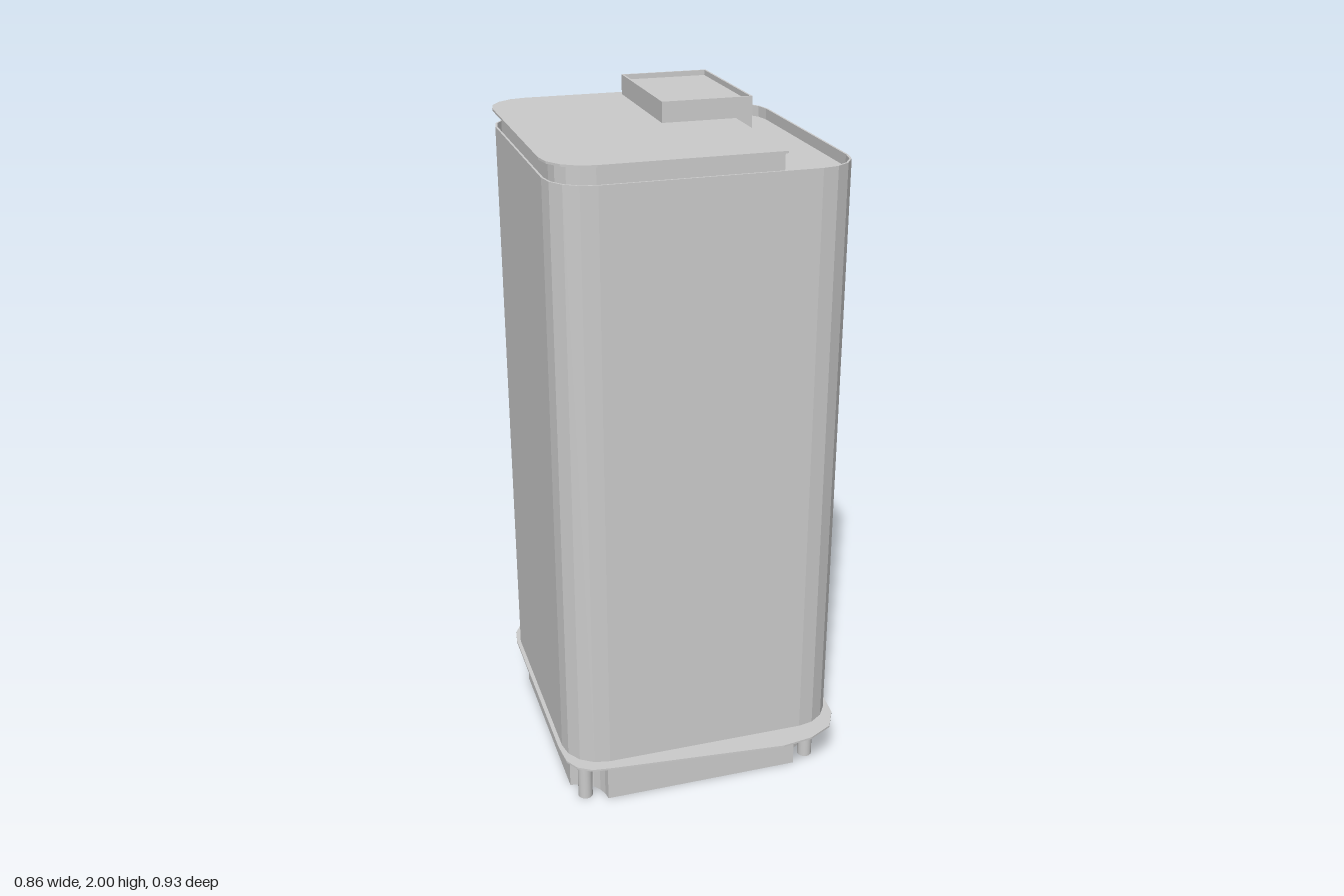
import * as THREE from 'three';

const material = new THREE.MeshStandardMaterial({ color: 0xcccccc, side: THREE.DoubleSide });

// Rounded rectangle in plan as [x, z] points; squareRight leaves the +x corners sharp.
function roundedPlan(x0, x1, z0, z1, r, squareRight = false) {
  const pts = [];
  const corner = (cx, cz, start) => {
    for (let i = 0; i <= 4; i++) {
      const a = start + (i / 4) * Math.PI / 2;
      pts.push([cx + r * Math.cos(a), cz + r * Math.sin(a)]);
    }
  };
  if (squareRight) pts.push([x1, z1]); else corner(x1 - r, z1 - r, 0);
  corner(x0 + r, z1 - r, Math.PI / 2);
  corner(x0 + r, z0 + r, Math.PI);
  if (squareRight) pts.push([x1, z0]); else corner(x1 - r, z0 + r, 1.5 * Math.PI);
  return pts;
}

// Rectangle in plan with a concave quarter-round cut from every corner.
function notchedPlan(x0, x1, z0, z1, r) {
  const pts = [];
  const corners = [[x1, z1, 1.5], [x0, z1, 2], [x0, z0, 0.5], [x1, z0, 1]];
  for (const [cx, cz, start] of corners) {
    for (let i = 0; i <= 6; i++) {
      const a = Math.PI * (start - (i / 6) * 0.5);
      pts.push([cx + r * Math.cos(a), cz + r * Math.sin(a)]);
    }
  }
  return pts;
}

// Extrude a plan outline upward from y0 to y1, optionally with a hole.
function slab(name, outline, y0, y1, hole) {
  const toVec = ([x, z]) => new THREE.Vector2(x, -z);
  const shape = new THREE.Shape(outline.map(toVec));
  if (hole) shape.holes.push(new THREE.Path(hole.map(toVec)));
  const geo = new THREE.ExtrudeGeometry(shape, { depth: y1 - y0, bevelEnabled: false });
  geo.rotateX(-Math.PI / 2);
  geo.translate(0, y0, 0);
  const mesh = new THREE.Mesh(geo, material);
  mesh.name = name;
  return mesh;
}

const rect = (x0, x1, z0, z1) => [[x1, z1], [x0, z1], [x0, z0], [x1, z0]];

export function createModel() {
  const model = new THREE.Group();
  model.name = 'tower';

  // Hollow plinth with notched corners
  const plinthInner = notchedPlan(-0.39, 0.384, -0.424, 0.354, 0.1);
  model.add(slab('plinth', notchedPlan(-0.396, 0.39, -0.43, 0.36, 0.095), 0, 0.15, plinthInner));

  // Round feet standing in the plinth notches
  for (const x of [-0.362, 0.348]) {
    for (const z of [-0.38, 0.32]) {
      const foot = new THREE.Mesh(new THREE.CylinderGeometry(0.022, 0.022, 0.15, 16), material);
      foot.name = 'foot';
      foot.position.set(x, 0.075, z);
      model.add(foot);
    }
  }

  // Thin bottom flange with a skewed front edge
  const flange = [
    [-0.43, -0.34], [-0.422, -0.395], [-0.4, -0.435], [-0.36, -0.46], [-0.3, -0.467],
    [0.3, -0.467], [0.355, -0.46], [0.4, -0.435], [0.422, -0.395], [0.43, -0.34],
    [0.43, 0.27], [0.424, 0.345], [0.39, 0.41], [0.315, 0.45], [0.22, 0.464],
    [-0.3, 0.418], [-0.36, 0.41], [-0.4, 0.385], [-0.423, 0.345], [-0.43, 0.27],
  ];
  model.add(slab('bottomFlange', flange, 0.148, 0.154, plinthInner));

  // Hollow body shell with a recessed deck near the top
  const bodyInner = roundedPlan(-0.412, 0.412, -0.45, 0.378, 0.112);
  model.add(slab('bodyShell', roundedPlan(-0.418, 0.418, -0.456, 0.384, 0.118), 0.154, 1.89, bodyInner));
  model.add(slab('topDeck', bodyInner, 1.852, 1.858));

  // Lid block with a thin overhanging cover
  model.add(slab('lidBlock', roundedPlan(-0.4, 0.2, -0.436, 0.366, 0.1, true), 1.858, 1.938));
  model.add(slab('lidCover', roundedPlan(-0.424, 0.2, -0.461, 0.387, 0.122, true), 1.936, 1.942));

  // Control box with a shallow tray in its top
  const tray = rect(-0.009, 0.242, -0.424, -0.022);
  model.add(slab('controlBox', rect(-0.015, 0.248, -0.43, -0.016), 1.858, 1.985));
  model.add(slab('controlBoxRim', rect(-0.015, 0.248, -0.43, -0.016), 1.985, 2, tray));

  return model;
}
